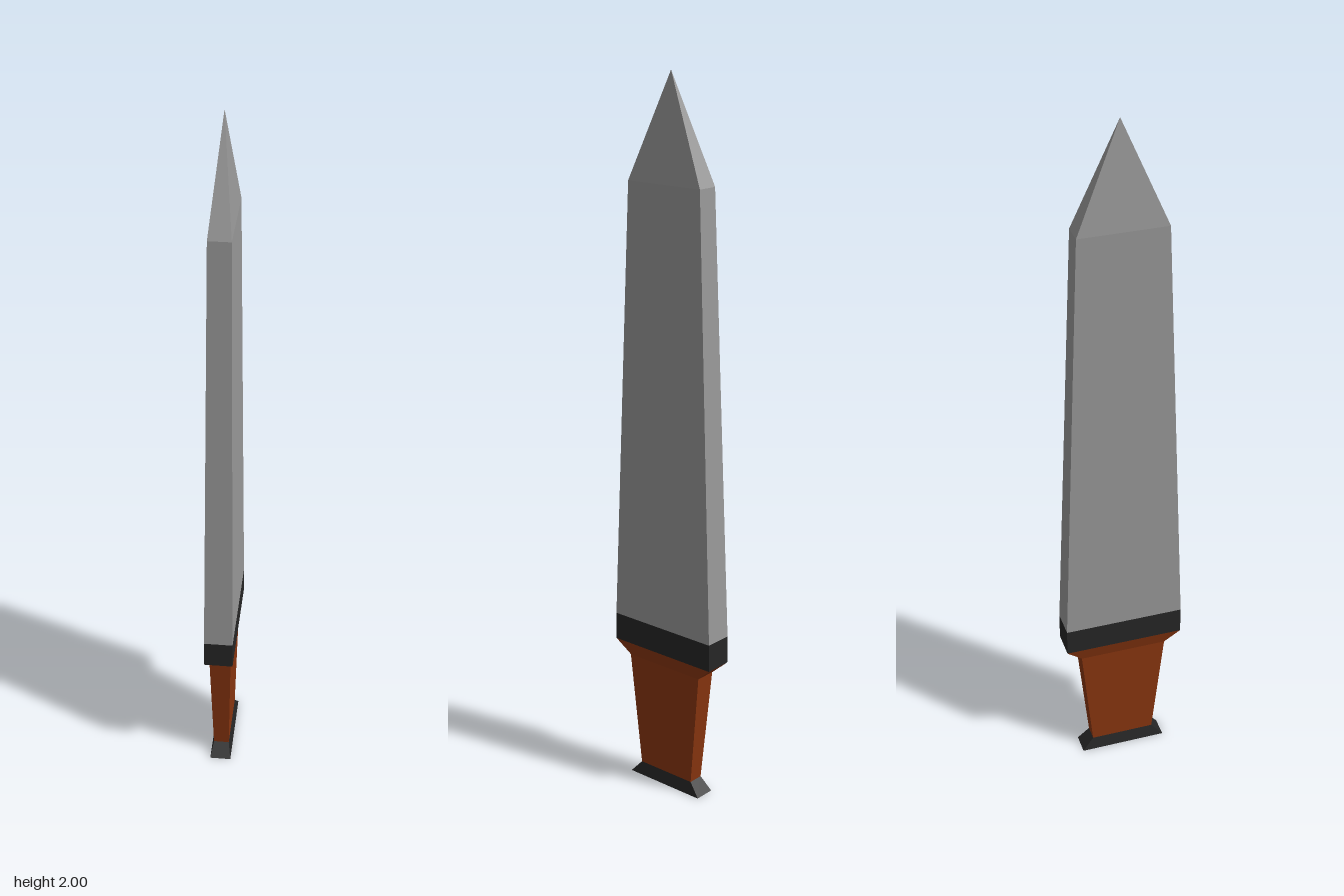
import * as THREE from 'three';

// Rectangular loft through [y, halfX, halfZ] sections, optionally capped at each end
function loft(name, color, sections, capBottom = false, capTop = false) {
  const pos = [];
  const ring = ([y, x, z]) => [[x, y, z], [x, y, -z], [-x, y, -z], [-x, y, z]];
  const tri = (...corners) => corners.forEach((c) => pos.push(...c));
  const quad = (a, b, c, d) => { tri(a, b, c); tri(a, c, d); };
  for (let s = 0; s < sections.length - 1; s++) {
    const lo = ring(sections[s]);
    const hi = ring(sections[s + 1]);
    const pointed = sections[s + 1][1] === 0;
    for (let i = 0; i < 4; i++) {
      const j = (i + 1) % 4;
      if (pointed) tri(lo[i], lo[j], hi[i]);
      else quad(lo[i], lo[j], hi[j], hi[i]);
    }
  }
  if (capBottom) quad(...ring(sections[0]).reverse());
  if (capTop) quad(...ring(sections[sections.length - 1]));
  const geometry = new THREE.BufferGeometry();
  geometry.setAttribute('position', new THREE.Float32BufferAttribute(pos, 3));
  geometry.computeVertexNormals();
  const mesh = new THREE.Mesh(geometry, new THREE.MeshStandardMaterial({ color, flatShading: true }));
  mesh.name = name;
  return mesh;
}

export function createModel() {
  const group = new THREE.Group();
  group.name = 'dagger';
  const steel = 0x999999, dark = 0x262626, leather = 0x8a3610;

  // Section sizes shared by neighbouring parts
  const base = [0, 0.03, 0.125];
  const neck = [0.037, 0.022, 0.092];
  const shoulder = [0.37, 0.03, 0.125];
  const guardLow = [0.41, 0.04, 0.17];
  const guardHigh = [0.488, 0.04, 0.17];

  group.add(
    // Base plate under the flared pommel, in the grip colour
    loft('pommelBase', leather, [base], true),
    loft('pommel', dark, [base, neck]),
    // Grip widens upwards and flares into the guard
    loft('grip', leather, [neck, shoulder, guardLow]),
    loft('guard', dark, [guardLow, guardHigh]),
    // Tapering blade with a four-sided point
    loft('blade', steel, [guardHigh, [1.715, 0.03, 0.121], [2, 0, 0]]),
  );
  return group;
}
